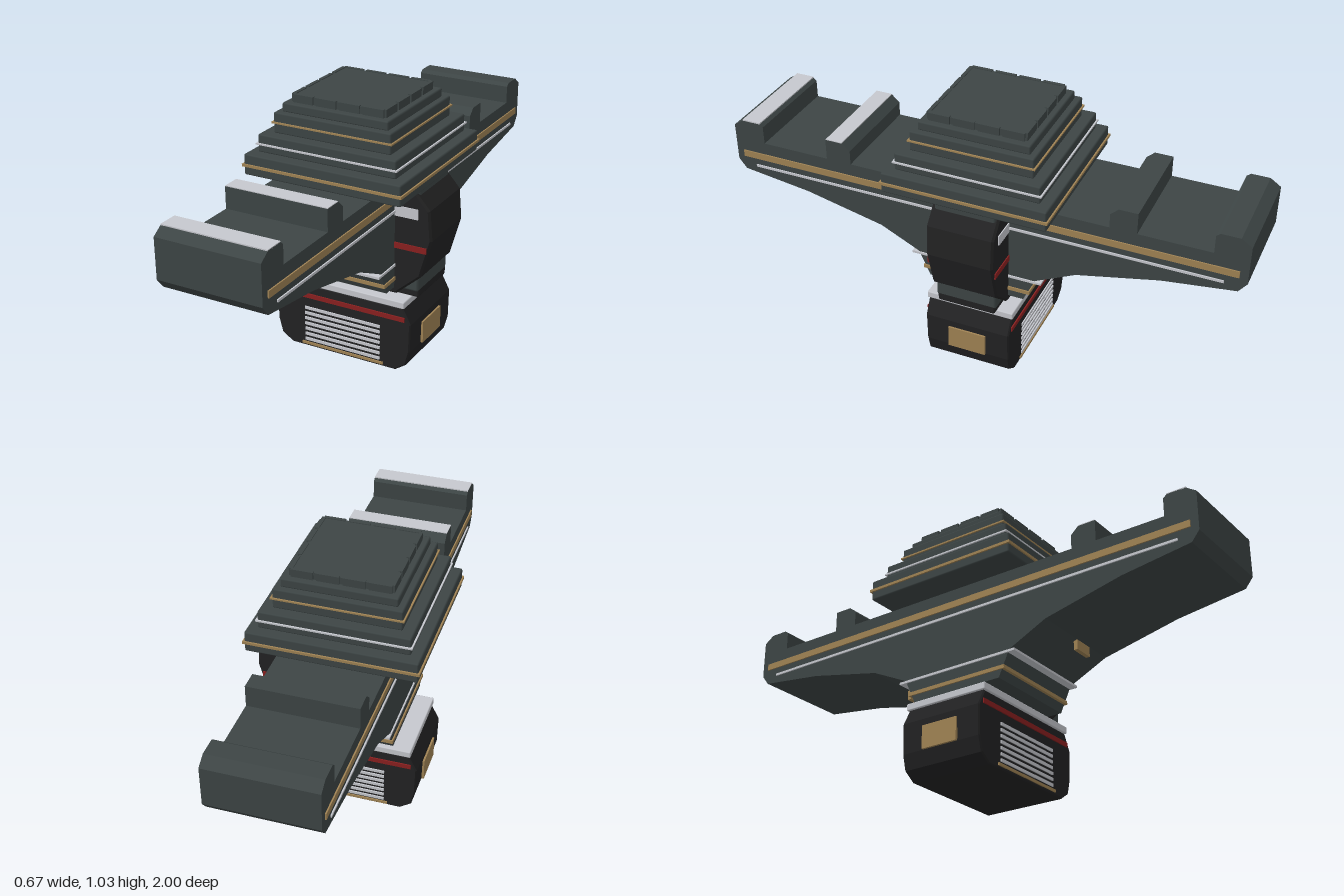
import * as THREE from 'three';
import { RoundedBoxGeometry } from 'three/addons/geometries/RoundedBoxGeometry.js';

const paint = (name, color) => {
  const m = new THREE.MeshStandardMaterial({ color });
  m.name = name;
  return m;
};

export function createModel() {
  const hull = paint('slate hull', 0x3d4545);
  const black = paint('black armour', 0x222223);
  const gold = paint('gold trim', 0xa08354);
  const silver = paint('silver trim', 0xc6c8ce);
  const red = paint('red stripe', 0x8a2020);

  const model = new THREE.Group();
  model.name = 'station';
  // The hull's own axis sits slightly off centre because of the side module
  const body = new THREE.Group();
  body.name = 'body';
  body.position.x = -0.015;
  model.add(body);

  const add = (name, geometry, material) => {
    const mesh = new THREE.Mesh(geometry, material);
    mesh.name = name;
    body.add(mesh);
    return mesh;
  };
  // Box given by its low and high corners
  const box = (name, mat, [x0, x1], [y0, y1], [z0, z1], round = 0) => {
    const size = [x1 - x0, y1 - y0, z1 - z0];
    const g = round ? new RoundedBoxGeometry(...size, 1, round) : new THREE.BoxGeometry(...size);
    const mesh = add(name, g, mat);
    mesh.position.set((x0 + x1) / 2, (y0 + y1) / 2, (z0 + z1) / 2);
    return mesh;
  };
  const sym = (h) => [-h, h];
  // Polygon in x and y, extruded along z and centred on z = 0
  const prism = (name, mat, points, half, bevel = 0) => {
    const g = new THREE.ExtrudeGeometry(new THREE.Shape(points.map(([x, y]) => new THREE.Vector2(x, y))), {
      depth: 2 * (half - bevel), bevelEnabled: bevel > 0, bevelSize: bevel, bevelThickness: bevel,
      bevelOffset: -bevel, bevelSegments: 1,
    });
    g.translate(0, 0, -(half - bevel));
    return add(name, g, mat);
  };
  const mirrored = (half) => [...half, ...half.map(([x, y]) => [-x, y]).reverse()];

  // Long beam with neck, turned so its profile runs along z
  const beam = prism('beam', hull, mirrored([
    [0.19, 0.327], [0.235, 0.425], [0.39, 0.5], [0.7, 0.57], [0.97, 0.607], [1, 0.645],
    [1, 0.795], [0.96, 0.822], [0.89, 0.822], [0.875, 0.81], [0.875, 0.74],
    [0.605, 0.74], [0.605, 0.822], [0.535, 0.822], [0.505, 0.795], [0.505, 0.74],
  ]), 0.2);
  beam.rotation.y = Math.PI / 2;

  // Silver caps on the front blocks
  box('endBlockCap', silver, sym(0.2), [0.82, 0.825], [0.888, 0.962]);
  box('innerBlockCap', silver, sym(0.2), [0.82, 0.825], [0.537, 0.603]);

  // Side stripes, under-beam plates
  for (const s of [-1, 1]) {
    box('beamGoldStripe', gold, sym(0.004), [0.665, 0.691], sym(0.97)).position.x = s * 0.201;
    box('beamSilverLine', silver, sym(0.004), [0.629, 0.638], sym(0.92)).position.x = s * 0.201;
    box('underPlate', gold, [0.003, 0.085], [0.46, 0.498], sym(0.008)).position.z = s * 0.385;
  }

  // Neck bands
  box('neckSilverBand', silver, sym(0.205), [0.414, 0.423], sym(0.26));
  box('neckGoldBand', gold, sym(0.205), [0.357, 0.371], sym(0.215));

  // Stepped square pyramid: half width, bottom, top, band height and colour
  const tiers = [
    [0.317, 0.74, 0.82, 0.778, gold, 0.005], [0.279, 0.822, 0.89, 0.854, silver, 0.003],
    [0.237, 0.888, 0.967, 0.929, gold, 0.003], [0.214, 0.965, 1.0],
  ];
  for (const [h, y0, y1, band, mat, t] of tiers) {
    box('tier', hull, sym(h), [y0, y1], sym(h), 0.006);
    if (band) box('tierBand', mat, sym(h + 0.006), [band - t, band + t], sym(h + 0.006));
  }
  // Crown with a notched rim
  box('crown', hull, sym(0.185), [0.99, 1.027], sym(0.185));
  for (let side = 0; side < 4; side++) {
    for (let i = 0; i < 4; i++) {
      const rim = add('crownRim', new THREE.BoxGeometry(0.082, 0.03, 0.014), hull);
      const a = side * Math.PI / 2, u = (i - 1.5) * 0.0945, v = 0.184;
      rim.position.set(u * Math.cos(a) + v * Math.sin(a), 1.015, v * Math.cos(a) - u * Math.sin(a));
      rim.rotation.y = a;
    }
  }

  // Side module on the left flank
  box('moduleCore', hull, [0, 0.293], [0.32, 0.738], sym(0.12), 0.01);
  box('moduleFoot', black, [0, 0.293], [0.297, 0.335], sym(0.115), 0.008);
  prism('sideModule', black, [
    [0, 0.3], [0.205, 0.3], [0.305, 0.388], [0.348, 0.54], [0.338, 0.657], [0.265, 0.738], [0, 0.738],
  ], 0.13, 0.008);
  for (const s of [-1, 1]) {
    box('moduleSilverPlate', silver, [0.19, 0.294], [0.617, 0.657], sym(0.004)).position.z = s * 0.13;
    box('moduleRedStripe', red, [0.19, 0.328], [0.489, 0.512], sym(0.004)).position.z = s * 0.13;
  }

  // Lower pod with collar
  box('podCollar', silver, sym(0.263), [0.268, 0.295], sym(0.174), 0.004);
  prism('pod', black, mirrored([
    [0.225, 0.002], [0.27, 0.033], [0.285, 0.09], [0.288, 0.205], [0.255, 0.268],
  ]), 0.169, 0.005);
  for (const s of [-1, 1]) {
    const face = (name, mat, half, y, t) =>
      box(name, mat, sym(half), [y - t, y + t], sym(0.004)).position.z = s * 0.17;
    face('podRedStripe', red, 0.265, 0.223, 0.009);
    for (let i = 0; i < 7; i++) face('podSlat', silver, 0.162, 0.17 - i * 0.0225, 0.0055);
    face('podGoldLine', gold, 0.176, 0.017, 0.005);
    box('podSidePlate', gold, sym(0.0045), [0.09, 0.178], sym(0.075)).position.x = s * 0.29;
  }
  return model;
}
